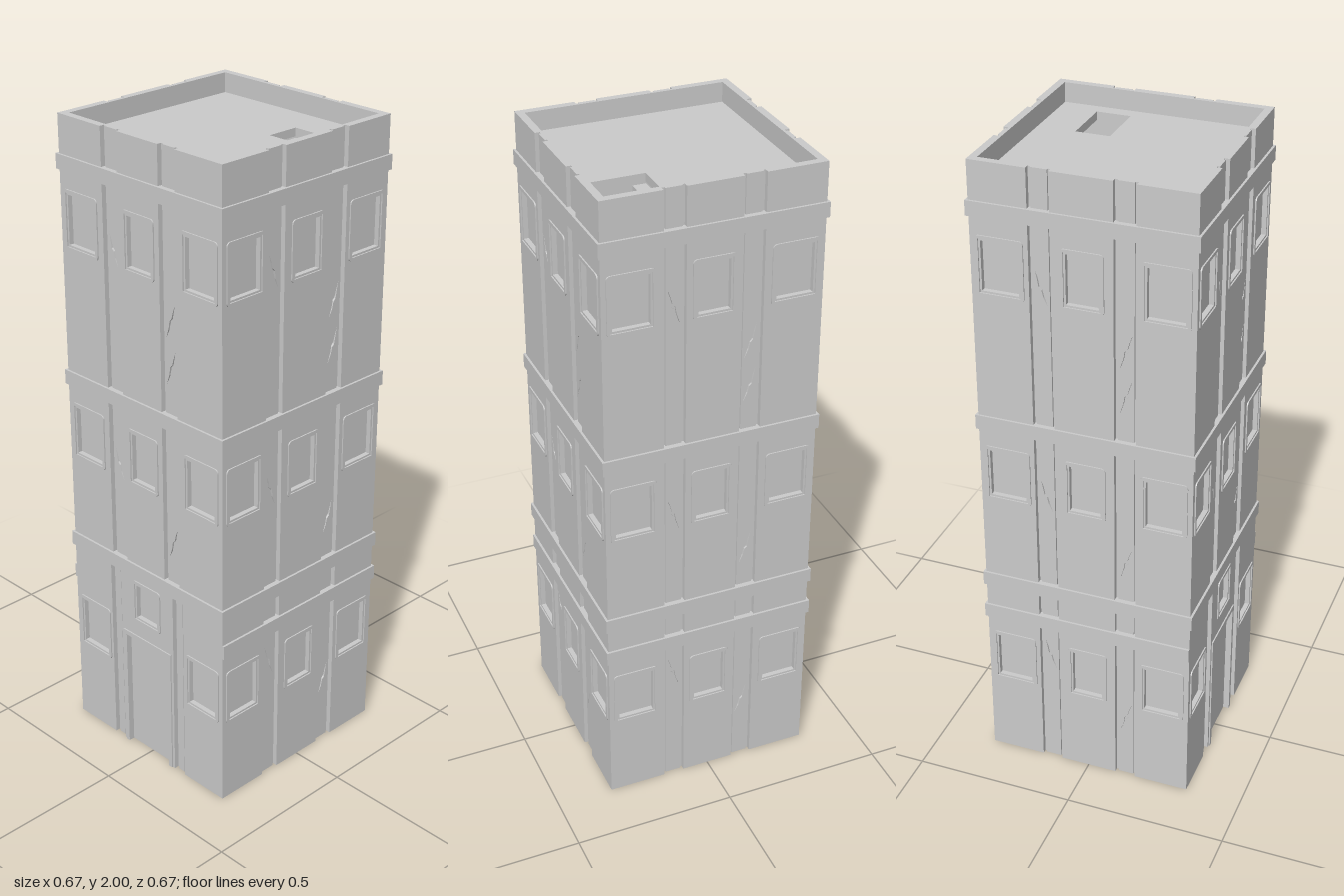
import * as THREE from 'three';

const GREY = new THREE.MeshStandardMaterial({ color: 0xcccccc, flatShading: true });
const CORE = 0.311, WALL = 0.326, STRIP = 0.317, BAND = 0.333, INNER = 0.303, H = 2;

function add(parent, name, geometry) {
  const mesh = new THREE.Mesh(geometry, GREY);
  mesh.name = name;
  parent.add(mesh);
  return mesh;
}

const poly = (pts, Type = THREE.Shape) => new Type(pts.map(([x, y]) => new THREE.Vector2(x, y)));
const rect = (x, y, w, h, Type = THREE.Shape) => poly(
  [[x - w / 2, y - h / 2], [x + w / 2, y - h / 2], [x + w / 2, y + h / 2], [x - w / 2, y + h / 2]], Type);

function roundedRect(x, y, w, h, r) {
  const s = new THREE.Shape(), a = w / 2 - r, b = h / 2 - r;
  s.absarc(x + a, y + b, r, 0, Math.PI / 2);
  s.absarc(x - a, y + b, r, Math.PI / 2, Math.PI);
  s.absarc(x - a, y - b, r, Math.PI, Math.PI * 1.5);
  s.absarc(x + a, y - b, r, Math.PI * 1.5, Math.PI * 2);
  return s;
}

// Plate lying between two distances from the tower's axis
function plate(parent, name, shape, z0, z1, holes = []) {
  shape.holes.push(...holes);
  const g = new THREE.ExtrudeGeometry(shape, { depth: z1 - z0, bevelEnabled: false, curveSegments: 3 });
  return add(parent, name, g.translate(0, 0, z0));
}

// Horizontal square slab with holes
function slab(parent, name, half, y0, y1, holes) {
  const s = rect(0, 0, half * 2, half * 2);
  s.holes.push(...holes);
  const g = new THREE.ExtrudeGeometry(s, { depth: y1 - y0, bevelEnabled: false });
  return add(parent, name, g.rotateX(-Math.PI / 2).translate(0, y0, 0));
}

// Jagged crack outline
const crack = (x, y, flip) => poly([
  [-0.018, 0.055], [-0.009, 0.03], [-0.004, 0.012], [0.004, 0.004], [0.008, -0.02], [0.018, -0.05],
  [0.005, -0.024], [0, -0.004], [-0.008, 0.004], [-0.012, 0.026],
].map(([a, b]) => [x + a * flip, y + b]), THREE.Path);

function windowFrame(parent, { x, y, w, h }) {
  plate(parent, 'windowFrame', roundedRect(x, y, w + 0.032, h + 0.032, 0.012), 0.32, 0.33,
    [rect(x, y, w + 0.012, h + 0.012, THREE.Path)]);
  plate(parent, 'windowInnerFrame', rect(x, y, w + 0.014, h + 0.014), CORE, 0.326,
    [rect(x, y, w, h, THREE.Path)]);
}

function buildFace(index) {
  const face = new THREE.Group();
  face.name = ['frontWall', 'leftWall', 'backWall', 'rightWall'][index];
  face.rotation.y = index * Math.PI / 2;
  const front = index === 0, side = index % 2 === 1;
  const edge = side ? CORE : WALL;
  // Channel limits; around the door they move outwards
  const [a, b] = side ? [0.09, 0.155] : [0.082, 0.147];
  const [la, lb] = front ? [0.115, 0.16] : [a, b];
  const split = 0.64;

  // Windows on three storeys
  const outer = [], middle = [];
  [0.36, 1.03, 1.695].forEach((y, i) => {
    for (const s of [-1, 1]) outer.push({ x: s * 0.24, y, w: 0.11, h: 0.15 });
    middle.push(front && i === 0 ? { x: 0, y: 0.538, w: 0.09, h: 0.112 } : { x: 0, y, w: 0.095, h: 0.15 });
  });
  [...outer, ...middle].forEach(w => windowFrame(face, w));
  const cut = list => list.map(w => rect(w.x, w.y, w.w + 0.01, w.h + 0.01, THREE.Path));

  // Wall panels between the channels
  const foot = front
    ? [[-la, 0], [-0.093, 0], [-0.093, 0.4], [0.093, 0.4], [0.093, 0], [la, 0]]
    : [[-la, 0], [la, 0]];
  const waist = front ? [[la, split], [a, split]] : [];
  const waistBack = waist.map(([x, y]) => [-x, y]).reverse();
  plate(face, 'middlePanel', poly([...foot, ...waist, [a, H], [-a, H], ...waistBack]), CORE, WALL, cut(middle));
  for (const s of [-1, 1]) {
    const step = front ? [[s * b, split], [s * lb, split]] : [];
    plate(face, 'sidePanel', poly([[s * lb, 0], [s * edge, 0], [s * edge, H], [s * b, H], ...step]),
      CORE, WALL, cut(outer.filter(w => w.x * s > 0)));

    // Recessed strips with a narrow groove on each side and cracks
    const c = s * (a + b) / 2, w = b - a - 0.016;
    const y0 = front ? split : 0;
    const cracks = (s < 0 ? [0.4, 0.98, 1.65] : [0.22, 0.8, 1.36, 1.5])
      .filter(y => y > y0 + 0.08).map(y => crack(c, y, -s));
    plate(face, 'channelStrip', rect(c, (y0 + H) / 2, w, H - y0), CORE, STRIP, cracks);
    if (front) plate(face, 'doorChannelStrip', rect(s * (la + lb) / 2, split / 2, 0.022, split), CORE, STRIP);
  }

  // Door surround
  if (front) {
    plate(face, 'doorFrame', poly([[-0.106, 0], [-0.092, 0], [-0.092, 0.4], [0.092, 0.4], [0.092, 0],
      [0.106, 0], [0.106, 0.415], [-0.106, 0.415]]), CORE, 0.33);
  }

  // Ledges
  for (const y of [0.528, 0.648, 1.198, 1.862]) {
    if (front && y < 0.6) continue;
    plate(face, 'ledge', rect(0, y, 2 * (side ? WALL : BAND), 0.045), CORE, BAND);
  }
  return face;
}

export function createModel() {
  const tower = new THREE.Group();
  tower.name = 'tower';
  for (let i = 0; i < 4; i++) tower.add(buildFace(i));

  // Hollow core, open at the bottom
  slab(tower, 'innerShell', CORE, 0, H, [rect(0, 0, INNER * 2, INNER * 2, THREE.Path)]);

  // Sunken roof with a stair hatch
  slab(tower, 'roof', INNER, 1.915, 1.94, [rect(0.18, 0.135, 0.165, 0.104, THREE.Path)]);
  const treads = [0.097, 0.136, 0.175, 0.224, 0.263];
  for (let i = 0; i < 4; i++) {
    const w = treads[i + 1] - treads[i];
    add(tower, 'stairStep', new THREE.BoxGeometry(w, 0.06, 0.104))
      .position.set(treads[i] + w / 2, 1.88 - i * 0.04, -0.135);
  }
  return tower;
}
